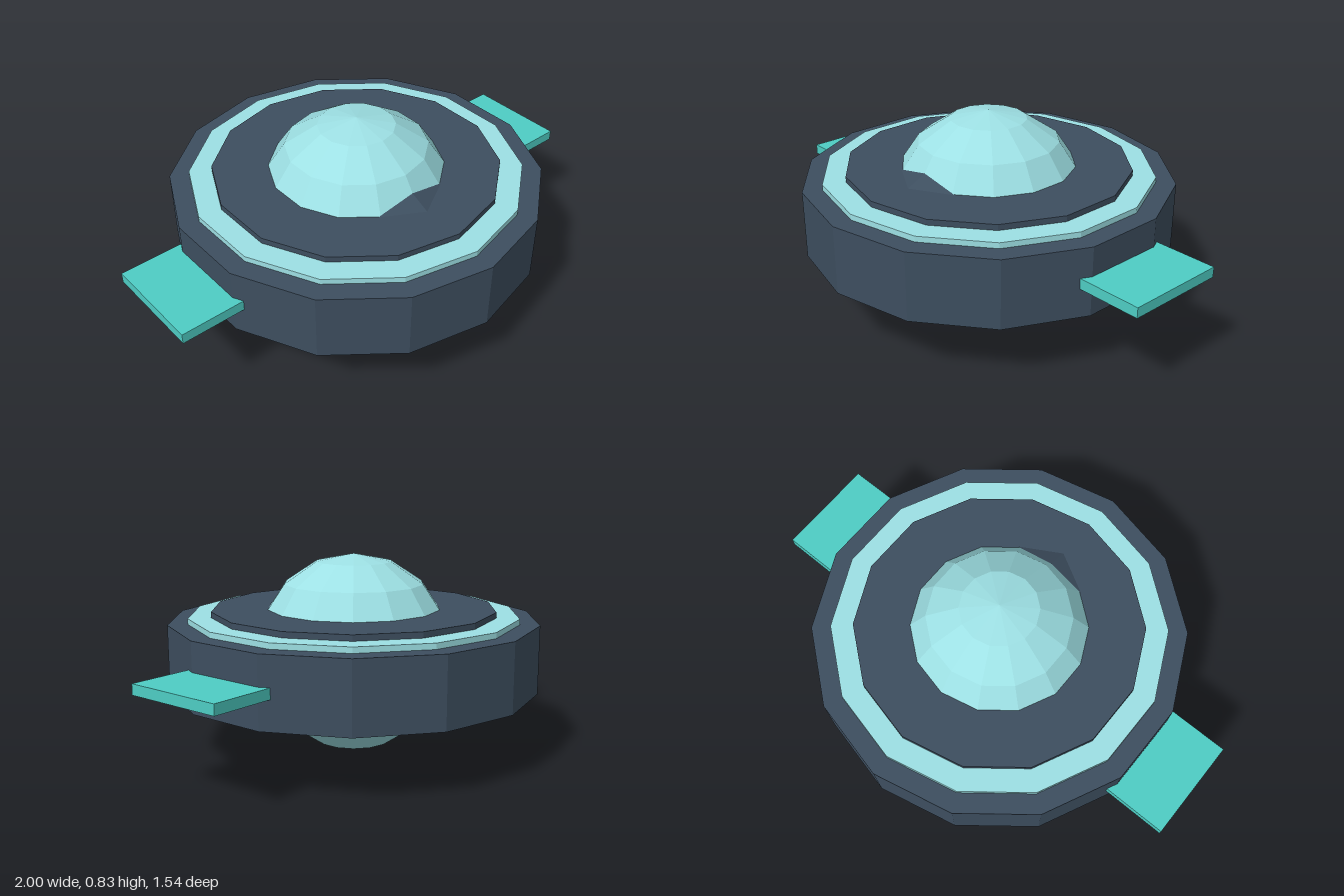
import * as THREE from 'three';

const SIDES = 14;
const MID = 0.42; // height of the horizontal symmetry plane

const material = (color) => new THREE.MeshStandardMaterial({ color, flatShading: true });

export function createModel() {
  const model = new THREE.Group();
  const dark = material(0x3d4e5f);
  const pale = material(0x9de0e4);
  const teal = material(0x4ecdc4);

  const add = (name, geometry, mat, x = 0, z = 0) => {
    const mesh = new THREE.Mesh(geometry, mat);
    mesh.name = name;
    mesh.position.set(x, MID, z);
    model.add(mesh);
  };

  // Three stacked discs: each smaller one is slightly thicker
  const disc = (radius, height) => new THREE.CylinderGeometry(radius, radius, height, SIDES);
  add('outerHull', disc(0.772, 0.285), dark);
  add('trimRing', disc(0.69, 0.332), pale);
  add('innerDeck', disc(0.595, 0.38), dark);

  // Faceted sphere showing as a dome above and below
  add('dome', new THREE.SphereGeometry(0.415, SIDES, 8).rotateY(Math.PI / 2), pale);

  // Tapered wedge that peeks out in front of the dome
  const prow = new THREE.CylinderGeometry(0.105, 0.235, 0.275, 6).rotateX(Math.PI / 2);
  prow.scale(2.14, 1, 1);
  add('frontWedge', prow, dark, 0, 0.4625);

  // Side fins
  for (const [name, s] of [['leftFin', 1], ['rightFin', -1]]) {
    add(name, new THREE.BoxGeometry(0.35, 0.043, 0.428), teal, s * 0.825);
  }
  return model;
}
